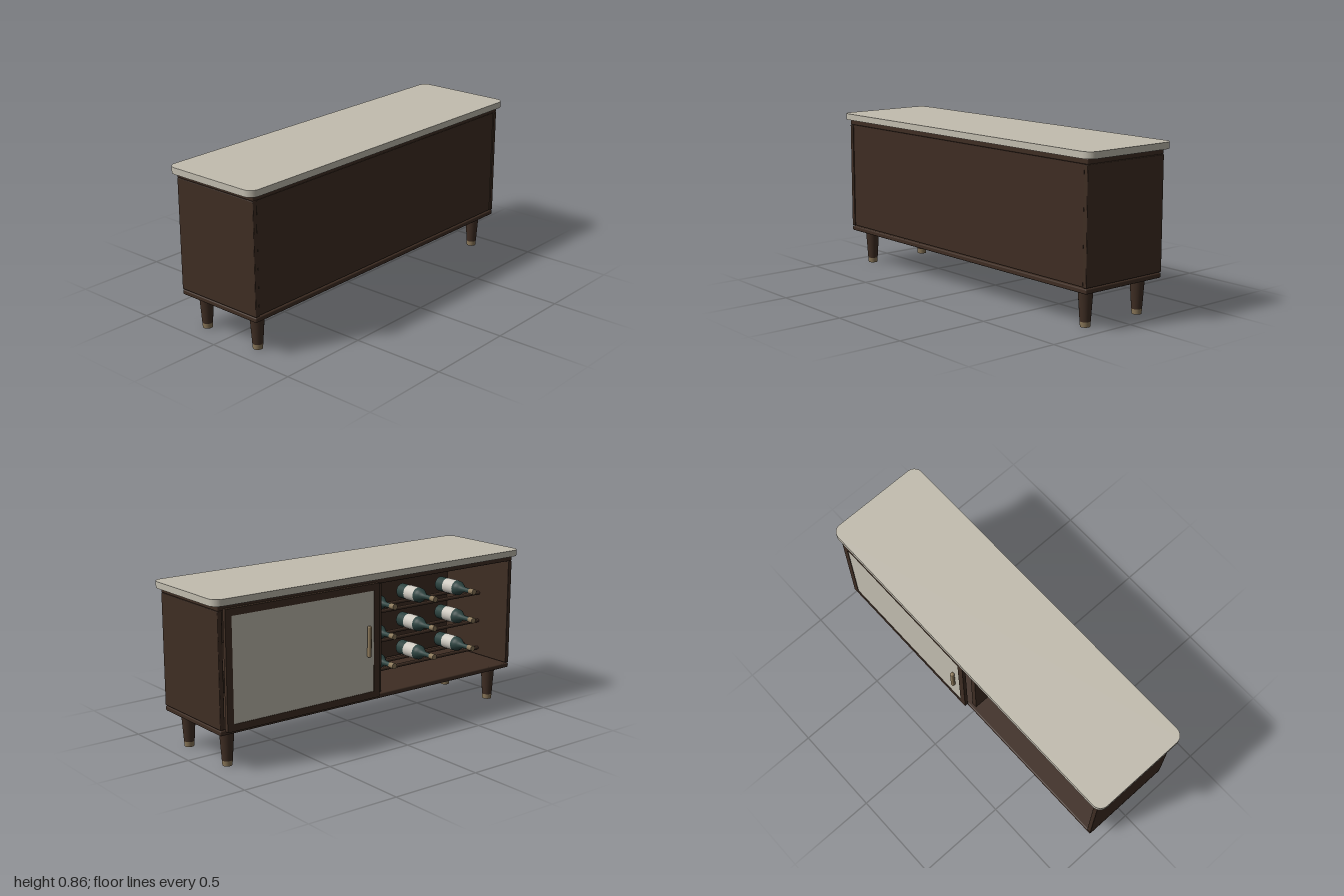
import * as THREE from 'three';
import { RoundedBoxGeometry } from 'three/addons/geometries/RoundedBoxGeometry.js';

const mat = (name, color) => {
  const m = new THREE.MeshStandardMaterial({ color });
  m.name = name;
  return m;
};

export function createModel() {
  const wood = mat('dark walnut', 0x3e2d23);
  const stone = mat('pale stone', 0xc2bdaf);
  const brass = mat('aged brass', 0x8a7759);
  const glass = mat('bottle glass', 0x2c4340);
  const paper = mat('label paper', 0xcdc9c0);
  const model = new THREE.Group();
  model.name = 'wineSideboard';

  const add = (name, geometry, material, parent = model) => {
    const mesh = new THREE.Mesh(geometry, material);
    mesh.name = name;
    parent.add(mesh);
    return mesh;
  };
  // Box given by its limits, with softly rounded edges when r > 0
  const box = (name, material, x0, x1, y0, y1, z0, z1, r = 0) => {
    const [w, h, d] = [x1 - x0, y1 - y0, z1 - z0];
    const g = r ? new RoundedBoxGeometry(w, h, d, 3, r) : new THREE.BoxGeometry(w, h, d);
    g.translate((x0 + x1) / 2, (y0 + y1) / 2, (z0 + z1) / 2);
    return add(name, g, material);
  };
  const rectPath = (path, x0, x1, y0, y1, r) => {
    path.moveTo(x0 + r, y0);
    path.lineTo(x1 - r, y0);
    path.absarc(x1 - r, y0 + r, r, -Math.PI / 2, 0);
    path.lineTo(x1, y1 - r);
    path.absarc(x1 - r, y1 - r, r, 0, Math.PI / 2);
    path.lineTo(x0 + r, y1);
    path.absarc(x0 + r, y1 - r, r, Math.PI / 2, Math.PI);
    path.lineTo(x0, y0 + r);
    path.absarc(x0 + r, y0 + r, r, Math.PI, Math.PI * 1.5);
    return path;
  };

  // Stone top with rounded corners
  const slab = new THREE.ExtrudeGeometry(rectPath(new THREE.Shape(), -1, 1, -0.29, 0.277, 0.05), {
    depth: 0.034, bevelEnabled: false, curveSegments: 10,
  });
  slab.rotateX(-Math.PI / 2).translate(0, 0.829, 0);
  add('stoneTop', slab, stone);

  // Carcass
  box('topBoard', wood, -0.965, 0.965, 0.799, 0.829, -0.25, 0.265, 0.007);
  box('bottomBoard', wood, -0.965, 0.965, 0.185, 0.211, -0.25, 0.265, 0.007);
  for (const s of [-1, 1]) {
    const x = s * 0.9525;
    box(s < 0 ? 'rightSide' : 'leftSide', wood, x - 0.0125, x + 0.0125, 0.214, 0.799, -0.25, 0.265, 0.004);
  }
  box('closedPanel', wood, -0.938, 0.938, 0.217, 0.799, 0.242, 0.261);
  box('divider', wood, -0.045, -0.015, 0.211, 0.799, -0.23, 0.242);
  box('cupboardShelf', wood, -0.015, 0.94, 0.47, 0.49, -0.2, 0.242);

  // Sliding door: frame, inset panel and pull
  const frame = rectPath(new THREE.Shape(), 0, 0.936, 0.203, 0.81, 0.004);
  frame.holes.push(rectPath(new THREE.Path(), 0.036, 0.9, 0.239, 0.774, 0.001));
  const frameGeo = new THREE.ExtrudeGeometry(frame, { depth: 0.02, bevelEnabled: false, curveSegments: 4 });
  add('doorFrame', frameGeo.translate(0, 0, -0.27), wood);
  box('doorPanel', stone, 0.036, 0.9, 0.239, 0.774, -0.267, -0.255);
  box('doorPull', brass, 0.065, 0.085, 0.43, 0.596, -0.29, -0.269, 0.007);

  // Tapered legs with metal feet
  for (const x of [-0.88, 0.88]) {
    for (const z of [-0.17, 0.185]) {
      const leg = new THREE.Group();
      leg.name = 'leg';
      leg.position.set(x, 0, z);
      model.add(leg);
      add('legShaft', new THREE.CylinderGeometry(0.038, 0.027, 0.16, 32).translate(0, 0.107, 0), wood, leg);
      add('legFoot', new THREE.CylinderGeometry(0.027, 0.025, 0.028, 32).translate(0, 0.014, 0), brass, leg);
    }
  }

  // Bottle standing on its base, built upward along y
  const lathe = (pts) => new THREE.LatheGeometry(pts.map(([r, y]) => new THREE.Vector2(r, y)), 24);
  const glassGeo = lathe([[0, 0], [0.037, 0], [0.041, 0.005], [0.041, 0.15], [0.039, 0.163],
    [0.03, 0.178], [0.019, 0.192], [0.014, 0.207], [0.013, 0.26]]);
  const labelGeo = new THREE.CylinderGeometry(0.042, 0.042, 0.078, 24, 1, true).translate(0, 0.103, 0);
  const capGeo = new THREE.CylinderGeometry(0.016, 0.016, 0.034, 20).translate(0, 0.268, 0);
  const bottle = (x, y, z) => {
    const g = new THREE.Group();
    g.name = 'bottle';
    add('bottleGlass', glassGeo, glass, g);
    add('bottleLabel', labelGeo, paper, g);
    add('bottleCap', capGeo, brass, g);
    g.position.set(x, y, z);
    model.add(g);
    return g;
  };

  // Rack: three rows of rails carrying bottles with their necks towards the opening
  for (const y of [0.305, 0.467, 0.63]) {
    for (const z of [-0.02, 0.095]) {
      const rail = new THREE.CylinderGeometry(0.01, 0.01, 0.9, 16).rotateZ(Math.PI / 2);
      add('rackRail', rail.translate(-0.492, y - 0.051, z), wood);
    }
    for (const x of [-0.2, -0.487, -0.775]) bottle(x, y, 0.13).rotation.x = -Math.PI / 2;
  }
  bottle(0.05, 0.49, -0.1);

  return model;
}
